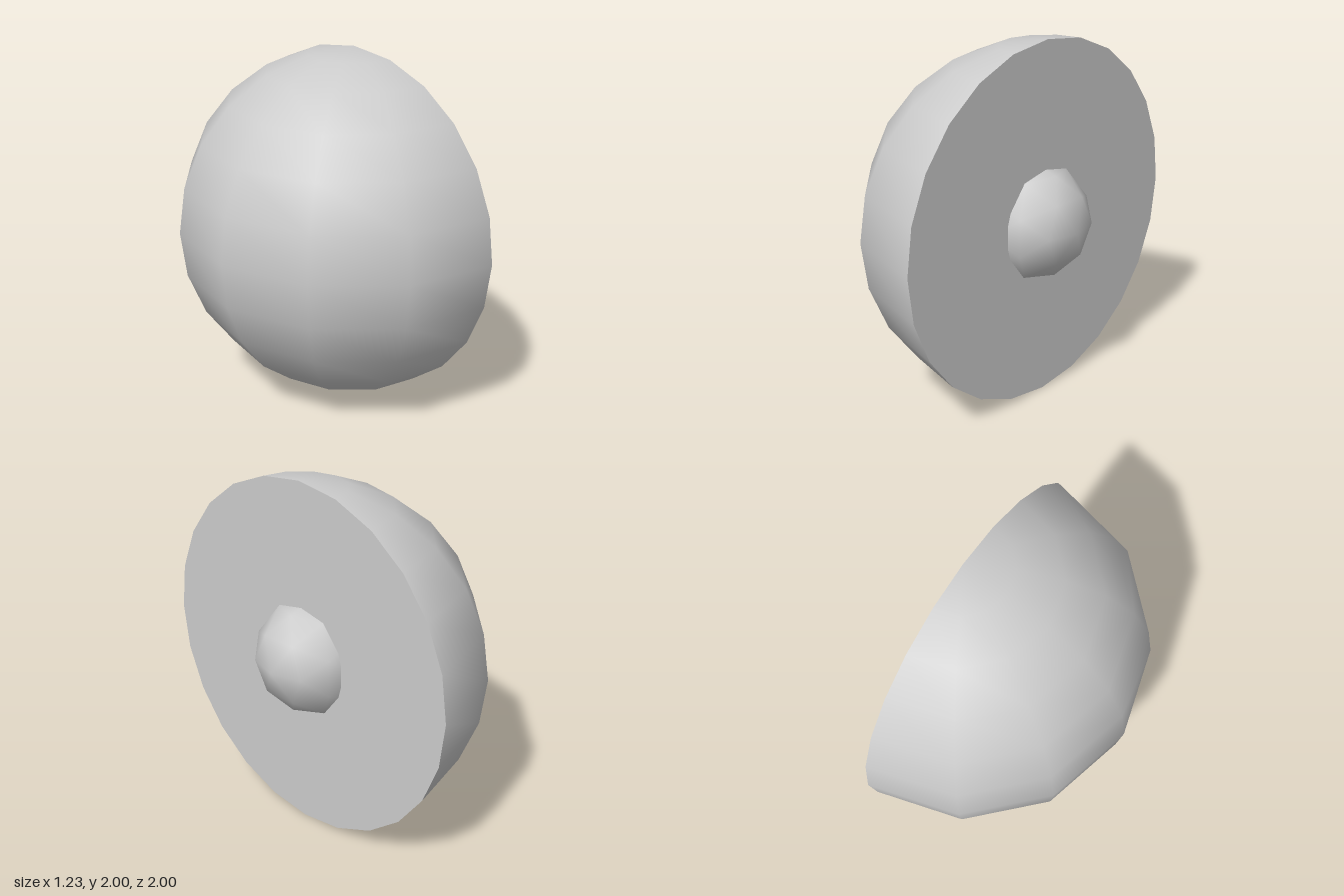
import * as THREE from 'three';

const RIM_X = 0.385;      // plane of the flat face
const RADIUS = 1;
const BALL_RADIUS = 0.33;
const BALL_X = 0.285;     // ball centre, sunk behind the flat face

export function createModel() {
  const group = new THREE.Group();
  const material = new THREE.MeshStandardMaterial({ color: 0xcccccc });

  const add = (name, geometry, x) => {
    const mesh = new THREE.Mesh(geometry, material);
    mesh.name = name;
    mesh.position.set(x, RADIUS, 0);
    group.add(mesh);
  };

  // Half sphere bulging towards -x, poles along y
  add('dome', new THREE.SphereGeometry(RADIUS, 6, 12, -Math.PI / 2, Math.PI), RIM_X);

  // Flat disc closing the dome, facing +x
  add('flatFace', new THREE.CircleGeometry(RADIUS, 24).rotateY(Math.PI / 2), RIM_X);

  // Smooth low-poly ball set into the middle of the disc
  add('centreBall', new THREE.IcosahedronGeometry(BALL_RADIUS, 1), BALL_X);

  return group;
}
